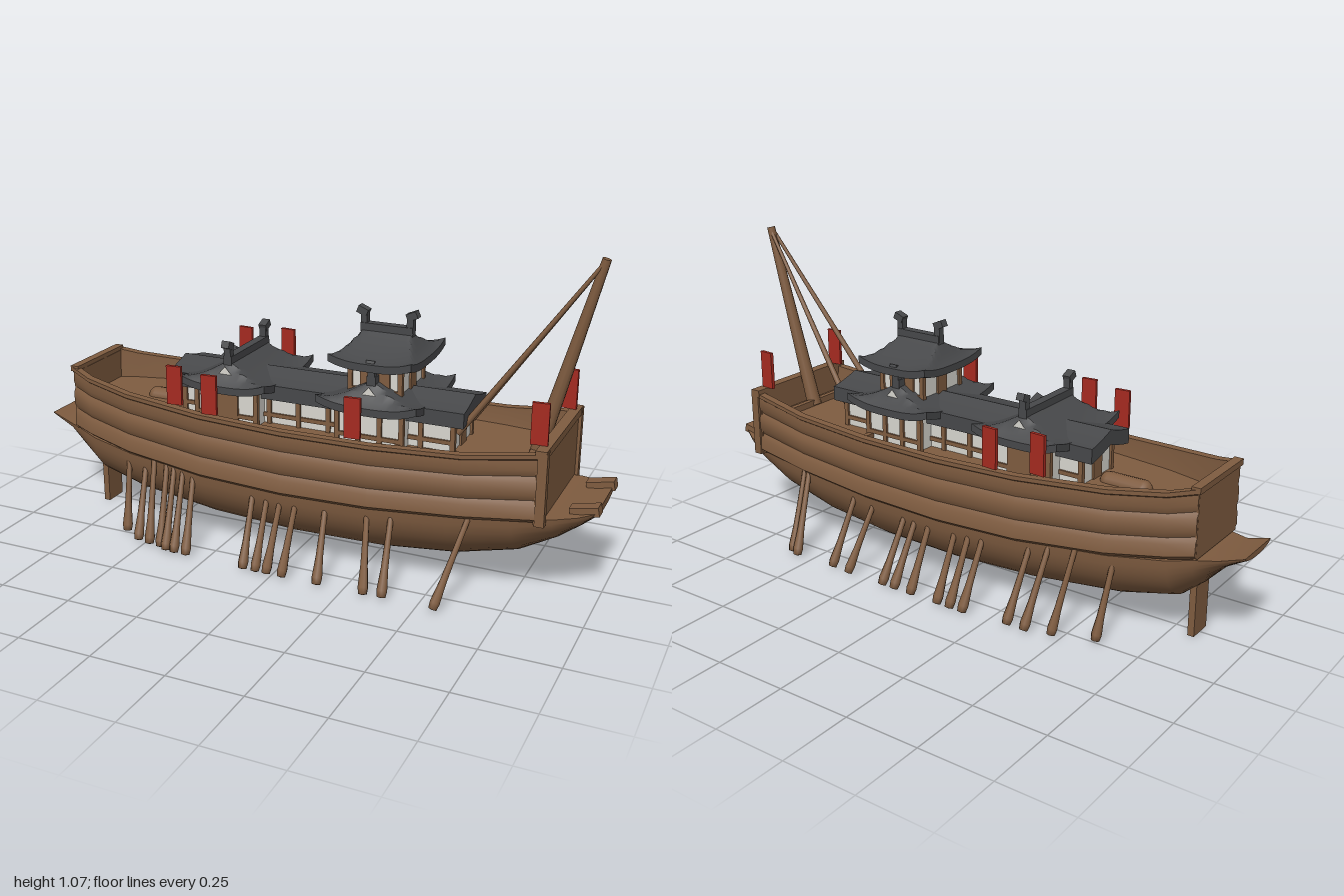
import * as THREE from 'three';
import { toCreasedNormals } from 'three/addons/utils/BufferGeometryUtils.js';

const mat = (name, color) => {
  const m = new THREE.MeshStandardMaterial({ color, side: THREE.DoubleSide });
  m.name = name;
  return m;
};

export function createModel() {
  const wood = mat('brown wood', 0x7f5c40);
  const tile = mat('dark roof tile', 0x47484a);
  const plaster = mat('white plaster', 0xd8d6cf);
  const red = mat('red cloth', 0xa52a20);
  const model = new THREE.Group();
  model.name = 'warship';

  const add = (name, geo, material, x = 0, y = 0, z = 0, parent = model) => {
    const m = new THREE.Mesh(geo, material);
    m.name = name;
    m.position.set(x, y, z);
    parent.add(m);
    return m;
  };
  const box = (name, material, w, h, d, x, y, z, parent) =>
    add(name, new THREE.BoxGeometry(w, h, d), material, x, y, z, parent);
  const up = new THREE.Vector3(0, 1, 0);
  // Places a y-aligned geometry, centred on its length, between two points
  const span = (name, makeGeo, a, b) => {
    const p = new THREE.Vector3(...a), q = new THREE.Vector3(...b);
    const dir = q.clone().sub(p);
    const m = add(name, makeGeo(dir.length()), wood);
    m.position.copy(p).add(q).multiplyScalar(0.5);
    m.quaternion.setFromUnitVectors(up, dir.normalize());
    return m;
  };

  // Skins a row of closed cross-sections, each mirrored from a half section of [z, y]
  const loft = (stations, half) => {
    const pos = [], idx = [];
    let n = 0;
    stations.forEach((s) => {
      const h = half(s);
      const ring = [...h, ...h.slice(1, -1).reverse().map(([z, y]) => [-z, y])];
      n = ring.length;
      ring.forEach(([z, y]) => pos.push(s[0], y, z));
    });
    for (let i = 0; i < stations.length - 1; i++) {
      for (let j = 0; j < n; j++) {
        const a = i * n + j, b = i * n + (j + 1) % n;
        idx.push(a, a + n, b, b, a + n, b + n);
      }
    }
    for (let j = 1; j < n - 1; j++) {
      const e = (stations.length - 1) * n;
      idx.push(0, j, j + 1, e, e + j + 1, e + j);
    }
    const g = new THREE.BufferGeometry();
    g.setAttribute('position', new THREE.Float32BufferAttribute(pos, 3));
    g.setIndex(idx);
    return toCreasedNormals(g, 0.7);
  };

  // Lower hull: x, half width, top y, keel y
  const hull = [
    [-1, 0.09, 0.345, 0.325], [-0.92, 0.1, 0.32, 0.275], [-0.85, 0.13, 0.315, 0.2],
    [-0.78, 0.16, 0.305, 0.14], [-0.6, 0.205, 0.29, 0.1], [-0.3, 0.245, 0.275, 0.07],
    [0, 0.257, 0.265, 0.058], [0.3, 0.25, 0.27, 0.062], [0.55, 0.232, 0.285, 0.085],
    [0.75, 0.21, 0.3, 0.135], [0.87, 0.19, 0.315, 0.205], [0.94, 0.16, 0.322, 0.26],
    [0.99, 0.13, 0.332, 0.305],
  ];
  add('lowerHull', loft(hull, ([, w, yt, yb]) => {
    const pts = [];
    for (let i = 0; i <= 10; i++) {
      const t = (i / 10) * Math.PI / 2;
      pts.push([w * Math.sin(t), yt - (yt - yb) * Math.cos(t)]);
    }
    pts.push([0, yt]);
    return pts;
  }), wood);
  const keelPath = new THREE.CatmullRomCurve3(hull.slice(6, 10).map((s) => new THREE.Vector3(s[0], s[3] + 0.004, 0)));
  add('keel', new THREE.TubeGeometry(keelPath, 20, 0.017, 8), wood);

  // Upper hull with plank ridges, rail and deck: x, half width, lower y, rail y
  const DECK = 0.44;
  const sides = [
    [-0.865, 0.145, 0.32, 0.55], [-0.78, 0.177, 0.31, 0.53], [-0.6, 0.222, 0.29, 0.512],
    [-0.3, 0.262, 0.27, 0.497], [0, 0.275, 0.263, 0.49], [0.3, 0.27, 0.268, 0.49],
    [0.6, 0.25, 0.285, 0.5], [0.84, 0.222, 0.305, 0.53],
  ];
  add('upperHull', loft(sides, ([, w, yb, yt]) => {
    const y = (f) => yb + (yt - yb) * f;
    return [
      [0, yb], [w - 0.02, yb], [w, y(0.07)], [w - 0.002, y(0.25)], [w - 0.013, y(0.33)],
      [w - 0.002, y(0.42)], [w - 0.002, y(0.6)], [w - 0.013, y(0.68)], [w - 0.003, y(0.78)],
      [w - 0.006, y(0.92)], [w, y(0.94)], [w, yt], [w - 0.028, yt], [w - 0.028, y(0.95)],
      [w - 0.034, DECK], [0, DECK],
    ];
  }), wood);

  // End walls with rails
  box('bowWall', wood, 0.025, 0.235, 0.435, 0.832, 0.418, 0);
  box('bowRail', wood, 0.035, 0.025, 0.455, 0.835, 0.53, 0);
  box('sternWall', wood, 0.025, 0.22, 0.27, -0.853, 0.43, 0);
  box('sternRail', wood, 0.03, 0.02, 0.29, -0.857, 0.545, 0);
  for (const s of [1, -1]) {
    const horn = box('bowHorn', wood, 0.09, 0.03, 0.045, 0.953, 0.33, s * 0.11);
    horn.rotation.z = 0.2;
    box('bowPost', wood, 0.03, 0.24, 0.025, 0.84, 0.42, s * 0.214);
  }

  // Deck beams and stern spar
  for (const [x, d] of [[-0.35, 0.47], [0.36, 0.49], [0.76, 0.4]]) {
    box('deckBeam', wood, 0.018, 0.025, d, x, DECK + 0.01, 0);
  }
  const spar = add('sternSpar', new THREE.CapsuleGeometry(0.03, 0.12, 6, 12), wood, -0.55, DECK, 0);
  spar.rotation.z = Math.PI / 2;

  // Rudder
  box('rudder', wood, 0.022, 0.21, 0.085, -0.82, 0.117, 0);

  // Oars: x at the top, x at the tip, z at the tip
  const oarGeo = (len) => new THREE.LatheGeometry(
    [[0, -0.5], [0.009, -0.5], [0.01, -0.05], [0.012, 0.2], [0.017, 0.42], [0.014, 0.49], [0, 0.5]]
      .map(([r, f]) => new THREE.Vector2(r, f * len)), 8);
  const leftOars = [
    [-0.62, -0.6, 0.25], [-0.55, -0.525, 0.3], [-0.5, -0.475, 0.31], [-0.45, -0.43, 0.315],
    [-0.42, -0.4, 0.33], [-0.385, -0.365, 0.335], [-0.345, -0.32, 0.335], [-0.115, -0.1, 0.345],
    [-0.06, -0.055, 0.345], [-0.01, -0.015, 0.345], [0.045, 0.04, 0.345], [0.145, 0.165, 0.345],
    [0.285, 0.325, 0.345], [0.37, 0.385, 0.34], [0.62, 0.555, 0.345],
  ];
  const rightOars = [
    [-0.62, -0.6, 0.25], [-0.5, -0.47, 0.3], [-0.41, -0.385, 0.325], [-0.345, -0.32, 0.325],
    [-0.17, -0.16, 0.345], [-0.115, -0.11, 0.345], [-0.06, -0.06, 0.345], [0.045, 0.05, 0.345],
    [0.1, 0.12, 0.345], [0.145, 0.17, 0.345], [0.28, 0.32, 0.345], [0.37, 0.395, 0.34],
    [0.6, 0.555, 0.345], [0.62, 0.59, 0.33],
  ];
  for (const [list, s] of [[leftOars, 1], [rightOars, -1]]) {
    for (const [x0, x1, z] of list) {
      const inner = x0 < -0.5 ? 0.18 : 0.215;
      span('oar', oarGeo, [x0, 0.29, s * inner], [x1, 0.018, s * z]);
    }
  }

  // Curved tiled roof with ridge along z; ridge is its half length as a fraction
  const roof = (name, w, d, y, h, { ridge = 0.6, curl = 0.025, t = 0.025, x = 0, turn = false, finial = true }) => {
    const g = new THREE.Group();
    g.name = name;
    g.position.set(x, y, 0);
    if (turn) g.rotation.y = Math.PI / 2;
    const geo = new THREE.BoxGeometry(w, t, d, 20, 1, 20);
    const p = geo.attributes.position;
    for (let i = 0; i < p.count; i++) {
      const u = Math.abs(p.getX(i)) / (w / 2), v = Math.abs(p.getZ(i)) / (d / 2);
      const s = Math.min(1, Math.max(u, (v - ridge) / (1 - ridge + 1e-6)));
      p.setY(i, p.getY(i) + h * Math.pow(1 - s, 1.35) + curl * Math.pow(u * v, 3));
    }
    geo.computeVertexNormals();
    add('tiles', toCreasedNormals(geo, 0.6), tile, 0, 0, 0, g);
    if (finial) {
      const r = ridge * d / 2;
      box('ridgeBeam', tile, 0.03, 0.03, 2 * r + 0.02, 0, h + t / 2, 0, g);
      for (const s of [1, -1]) {
        box('finial', tile, 0.024, 0.06, 0.022, 0, h + 0.035, s * r, g);
        const tip = box('finialTip', tile, 0.028, 0.024, 0.036, 0, h + 0.065, s * (r + 0.006), g);
        tip.rotation.x = -s * 0.4;
      }
    }
    model.add(g);
  };

  // Walls with wooden posts and sills
  const house = (name, x, w, d, y0, y1, n, panel) => {
    const g = new THREE.Group();
    g.name = name;
    const h = y1 - y0, y = (y0 + y1) / 2;
    box('walls', panel, w, h, d, x, y, 0, g);
    for (const s of [1, -1]) {
      for (let i = 0; i <= n; i++) {
        box('post', wood, 0.016, h, 0.016, x - w / 2 + (w * i) / n, y, s * d / 2, g);
      }
      box('sill', wood, w, 0.014, 0.014, x, y0 + 0.03, s * d / 2, g);
      box('endPost', wood, 0.014, h, 0.05, x + s * w / 2, y, 0, g);
    }
    model.add(g);
  };
  house('longCabin', 0.04, 0.96, 0.18, DECK, 0.56, 9, plaster);
  house('sternCabin', -0.25, 0.22, 0.3, DECK, 0.57, 3, plaster);
  house('towerCabin', 0.26, 0.22, 0.3, DECK, 0.57, 3, plaster);
  house('towerRoom', 0.26, 0.17, 0.2, 0.58, 0.71, 3, plaster);
  for (const s of [1, -1]) {
    box('towerPanel', wood, 0.1, 0.1, 0.008, 0.26, 0.65, s * 0.104);
    box('cabinDoor', wood, 0.07, 0.1, 0.008, -0.25, 0.5, s * 0.154);
    // Plaster triangle in each gable
    for (const x of [-0.25, 0.26]) {
      const tri = new THREE.Shape([[-0.035, 0], [0.035, 0], [0, 0.04]].map((q) => new THREE.Vector2(...q)));
      add('gablePanel', new THREE.ShapeGeometry(tri), plaster, x, 0.598, s * 0.157);
    }
  }
  roof('longRoof', 0.23, 1.05, 0.555, 0.03, { x: 0.035, turn: true, ridge: 1, curl: 0, t: 0.05, finial: false });
  roof('sternRoof', 0.32, 0.38, 0.565, 0.075, { x: -0.25, ridge: 0.68 });
  roof('towerLowerRoof', 0.34, 0.38, 0.565, 0.075, { x: 0.26, ridge: 0.68 });
  roof('towerRoof', 0.32, 0.28, 0.7, 0.075, { x: 0.26, turn: true, ridge: 0.56, curl: 0.02 });

  // Leaning mast with two stays
  span('mast', (l) => new THREE.CylinderGeometry(0.014, 0.026, l, 10), [0.765, DECK, 0], [0.938, 1.08, 0]);
  for (const s of [1, -1]) {
    span('stay', (l) => new THREE.CylinderGeometry(0.006, 0.011, l, 8), [0.53, 0.5, s * 0.075], [0.93, 1.065, s * 0.006]);
  }

  // Banners
  for (const [x, y, z] of [[-0.385, 0.585, 0.255], [-0.385, 0.585, -0.255], [-0.235, 0.585, 0.293],
    [-0.235, 0.585, -0.293], [0.26, 0.58, 0.287], [0.815, 0.61, 0.178], [0.815, 0.61, -0.178]]) {
    const b = box('banner', red, 0.053, 0.132, 0.012, x, y, z);
    b.rotation.y = 0.08 * Math.sign(z);
  }
  return model;
}
